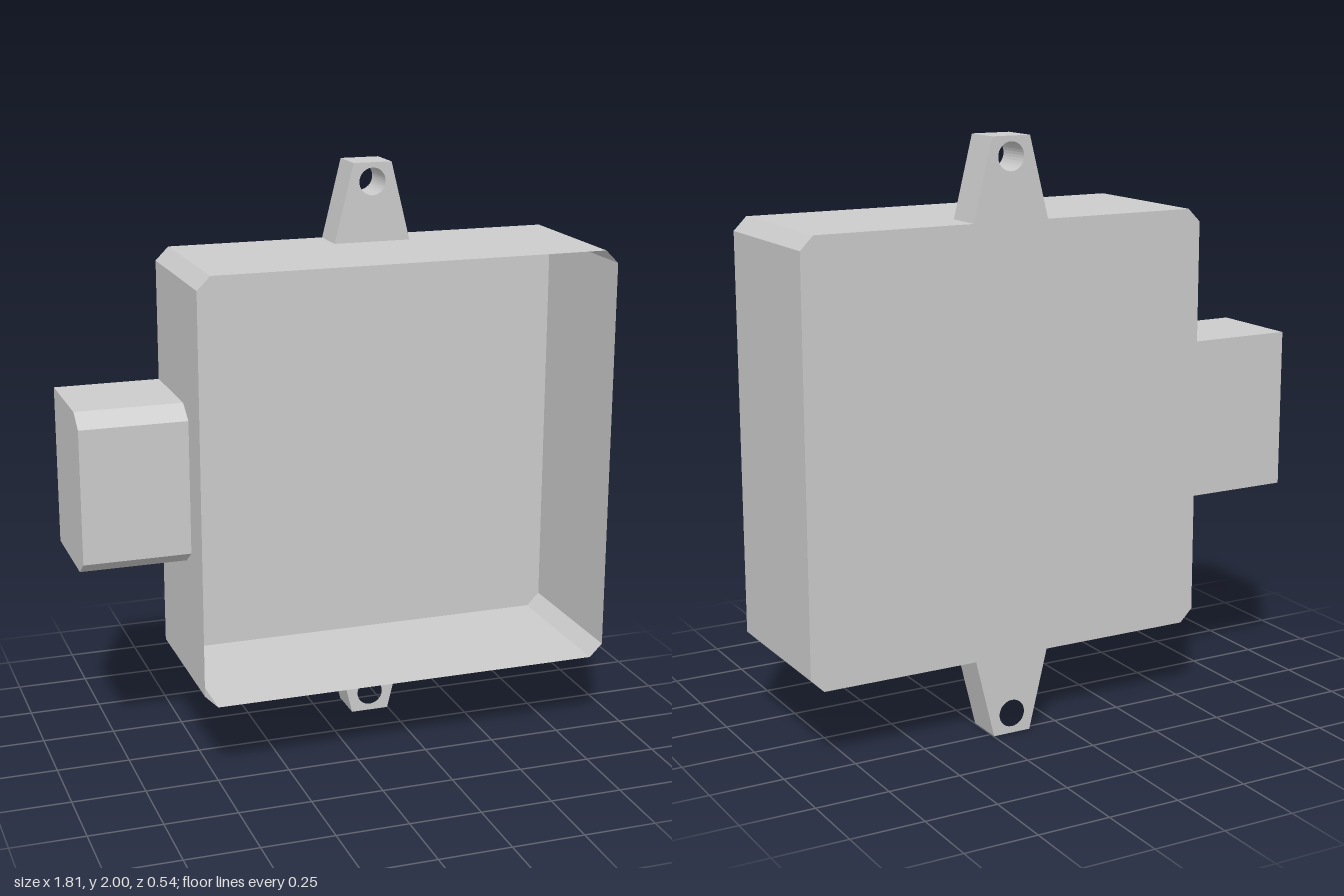
import * as THREE from 'three';

const BACK = -0.27, FRONT = 0.27;
const LEFT = 0.907, RIGHT = -0.545, BOTTOM = 0.275, TOP = 1.73, BEVEL = 0.045;

const solid = new THREE.MeshStandardMaterial({ color: 0xcccccc, flatShading: true });
const sheet = new THREE.MeshStandardMaterial({ color: 0xcccccc, flatShading: true, side: THREE.DoubleSide });

const toShape = (points) => new THREE.Shape(points.map(([x, y]) => new THREE.Vector2(x, y)));

function addMesh(parent, name, geometry, material) {
  const mesh = new THREE.Mesh(geometry, material);
  mesh.name = name;
  parent.add(mesh);
  return mesh;
}

// Thin side walls swept from the back to the front along a closed outline
function wallGeometry(outline) {
  const positions = [];
  outline.forEach(([ax, ay], i) => {
    const [bx, by] = outline[(i + 1) % outline.length];
    positions.push(ax, ay, BACK, bx, by, BACK, bx, by, FRONT);
    positions.push(ax, ay, BACK, bx, by, FRONT, ax, ay, FRONT);
  });
  const geometry = new THREE.BufferGeometry();
  geometry.setAttribute('position', new THREE.Float32BufferAttribute(positions, 3));
  geometry.computeVertexNormals();
  return geometry;
}

// Tapered mounting tab with a screw hole, pointing up or down
function tabGeometry(up) {
  const cx = 0.18, base = up ? TOP : BOTTOM, tip = up ? 2 : 0;
  const shape = toShape([[cx - 0.135, base], [cx + 0.135, base], [cx + 0.068, tip], [cx - 0.068, tip]]);
  const hole = new THREE.Path();
  hole.absarc(cx, up ? 1.935 : 0.07, 0.047, 0, Math.PI * 2, true);
  shape.holes.push(hole);
  return new THREE.ExtrudeGeometry(shape, { depth: 0.135, bevelEnabled: false, curveSegments: 16 })
    .translate(0, 0, BACK);
}

export function createModel() {
  const model = new THREE.Group();
  model.name = 'openHousing';

  // Open-fronted tray with clipped corners
  const outline = [
    [RIGHT + BEVEL, BOTTOM], [LEFT - BEVEL, BOTTOM], [LEFT, BOTTOM + BEVEL], [LEFT, TOP - BEVEL],
    [LEFT - BEVEL, TOP], [RIGHT + BEVEL, TOP], [RIGHT, TOP - BEVEL], [RIGHT, BOTTOM + BEVEL],
  ];
  addMesh(model, 'sideWalls', wallGeometry(outline), sheet);
  addMesh(model, 'backPanel', new THREE.ShapeGeometry(toShape(outline)).translate(0, 0, BACK), sheet);

  // Side block: profile in (z, y), extruded along x
  const profile = toShape([
    [BACK, 0.73], [0.065, 0.73], [0.13, 0.775], [0.13, 1.23], [0.065, 1.275], [BACK, 1.275],
  ]);
  const block = new THREE.ExtrudeGeometry(profile, { depth: 0.362, bevelEnabled: false })
    .rotateY(-Math.PI / 2)
    .scale(1, 1, 1)
    .translate(RIGHT, 0, 0);
  addMesh(model, 'sideBlock', block, solid);

  // Mounting tabs above and below
  addMesh(model, 'topTab', tabGeometry(true), solid);
  addMesh(model, 'bottomTab', tabGeometry(false), solid);

  return model;
}
